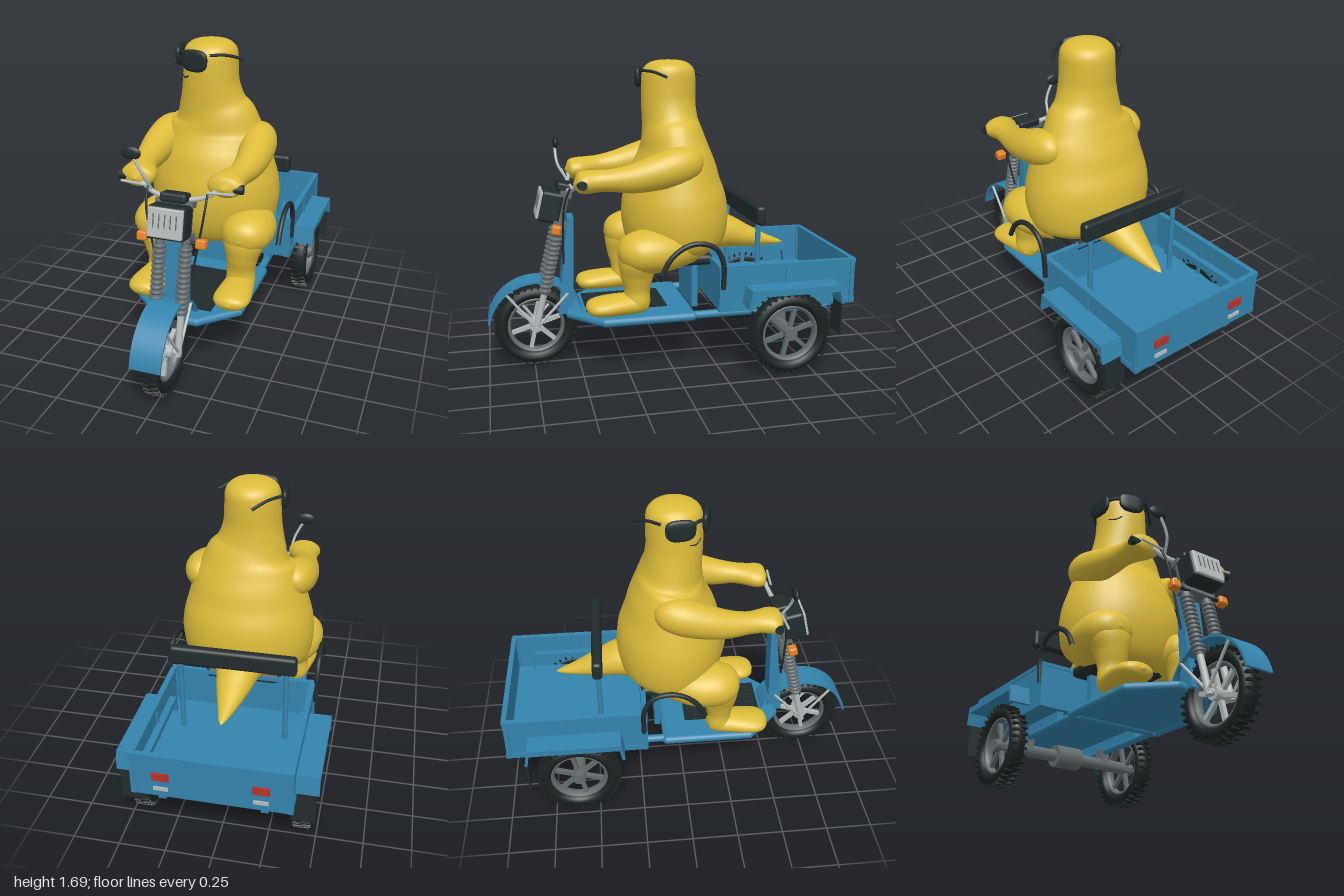
import * as THREE from 'three';
import { RoundedBoxGeometry } from 'three/addons/geometries/RoundedBoxGeometry.js';

const paint = (name, color) => Object.assign(new THREE.MeshStandardMaterial({ color }), { name });
const V = (p) => new THREE.Vector3(...p);

// Smooth skin through rings [x, y, z, halfWidth, halfDepth]
function loft(rings, steps = 40, sides = 32) {
  const path = new THREE.CatmullRomCurve3(rings.map(r => V(r.slice(0, 3))), false, 'catmullrom');
  const size = new THREE.CatmullRomCurve3(rings.map(r => V([r[3], r[4] ?? r[3], 0])), false, 'catmullrom');
  const pos = [], index = [];
  for (let i = 0; i <= steps; i++) {
    const c = path.getPoint(i / steps), t = path.getTangent(i / steps), r = size.getPoint(i / steps);
    const s = new THREE.Vector3(1, 0, 0).addScaledVector(t, -t.x).normalize();
    const b = new THREE.Vector3().crossVectors(t, s);
    for (let j = 0; j < sides; j++) {
      const a = j / sides * Math.PI * 2;
      const p = c.clone().addScaledVector(s, Math.cos(a) * Math.max(r.x, 0.001))
        .addScaledVector(b, Math.sin(a) * Math.max(r.y, 0.001));
      pos.push(p.x, p.y, p.z);
      if (i < steps) {
        const k = (j + 1) % sides, m = i * sides, n = m + sides;
        index.push(m + j, m + k, n + k, m + j, n + k, n + j);
      }
    }
  }
  const g = new THREE.BufferGeometry();
  g.setAttribute('position', new THREE.Float32BufferAttribute(pos, 3));
  g.setIndex(index);
  g.computeVertexNormals();
  return g;
}

// Side profile in (z, y), extruded across x
function sideExtrude(shape, width) {
  return new THREE.ExtrudeGeometry(shape, { depth: width, bevelEnabled: false, curveSegments: 32 })
    .translate(0, 0, -width / 2).rotateY(-Math.PI / 2);
}

export function createModel() {
  const root = new THREE.Group();
  root.name = 'cargoTricycleWithRider';
  const yellow = paint('yellow skin', 0xdcbc3a), blue = paint('blue paint', 0x3484ad);
  const black = paint('black plastic', 0x222c2d), rubber = paint('tyre rubber', 0x1b2222);
  const grey = paint('grey metal', 0x646c6e), silver = paint('silver metal', 0xb4baba);
  const orange = paint('orange lens', 0xe68324), red = paint('red lens', 0xb8322a);

  const add = (name, geo, mat, p = [0, 0, 0], parent = root) => {
    const m = new THREE.Mesh(geo, mat);
    m.name = name;
    m.position.set(...p);
    parent.add(m);
    return m;
  };
  const box = (name, mat, size, p, parent) => add(name, new THREE.BoxGeometry(...size), mat, p, parent);
  const soft = (name, mat, size, p, r, parent) => add(name, new RoundedBoxGeometry(...size, 3, r), mat, p, parent);
  const rod = (name, mat, a, b, r, parent) => {
    const d = V(b).sub(V(a));
    const m = add(name, new THREE.CylinderGeometry(r, r, d.length(), 16), mat, [0, 0, 0], parent);
    m.position.copy(V(a)).addScaledVector(d, 0.5);
    m.quaternion.setFromUnitVectors(new THREE.Vector3(0, 1, 0), d.normalize());
    return m;
  };
  const tube = (name, mat, pts, r, parent) => add(name,
    new THREE.TubeGeometry(new THREE.CatmullRomCurve3(pts.map(V)), 40, r, 10), mat, [0, 0, 0], parent);

  // Wheels, built round the local z axis
  function wheel(name, x, z, spokeMat) {
    const g = new THREE.Group();
    g.name = name;
    g.position.set(x, 0.233, z);
    g.rotation.y = Math.PI / 2;
    root.add(g);
    add('tyre', new THREE.TorusGeometry(0.188, 0.037, 14, 48).scale(1, 1, 1.25), rubber, [0, 0, 0], g);
    add('rim', new THREE.TorusGeometry(0.152, 0.014, 10, 48).scale(1, 1, 2), grey, [0, 0, 0], g);
    for (let i = 0; i < 72; i++) {
      const a = i / 72 * Math.PI * 2, s = i % 2 ? 1 : -1;
      const b = box('treadBlock', rubber, [0.02, 0.012, 0.042], [Math.cos(a) * 0.222, Math.sin(a) * 0.222, s * 0.022], g);
      b.rotation.z = a;
    }
    for (let i = 0; i < 6; i++) {
      const a = i / 6 * Math.PI * 2 + 0.3;
      box('spoke', spokeMat, [0.13, 0.022, 0.024], [Math.cos(a) * 0.085, Math.sin(a) * 0.085, 0], g).rotation.z = a;
    }
    add('hub', new THREE.CylinderGeometry(0.035, 0.035, 0.09, 20).rotateX(Math.PI / 2), spokeMat, [0, 0, 0], g);
  }
  wheel('frontWheel', 0, 0.735, silver);
  wheel('rightRearWheel', -0.425, -0.606, grey);
  wheel('leftRearWheel', 0.425, -0.606, grey);

  // Front mudguard and steering column
  const arc = new THREE.Shape();
  arc.absarc(0, 0, 0.272, 0.16, 2.85, false);
  arc.absarc(0, 0, 0.26, 2.85, 0.16, true);
  add('frontMudguard', sideExtrude(arc, 0.165), blue, [0, 0.233, 0.73]);
  const column = new THREE.Shape([[0.515, 0.85], [0.55, 0.85], [0.61, 0.3], [0.53, 0.3]].map(p => new THREE.Vector2(...p)));
  add('steeringColumn', sideExtrude(column, 0.12), blue);

  // Fork, raked back from the front axle
  const fork = new THREE.Group();
  fork.name = 'fork';
  fork.position.set(0, 0.235, 0.735);
  fork.rotation.x = -0.235;
  root.add(fork);
  rod('frontAxle', silver, [-0.085, 0, 0], [0.085, 0, 0], 0.018, fork);
  for (const k of [-1, 1]) {
    rod('lowerForkLeg', silver, [k * 0.07, -0.02, 0], [k * 0.07, 0.25, 0], 0.018, fork);
    rod('upperForkLeg', grey, [k * 0.07, 0.2, 0], [k * 0.07, 0.78, 0], 0.024, fork);
    for (let i = 0; i < 13; i++)
      add('springCoil', new THREE.TorusGeometry(0.026, 0.01, 8, 20).rotateX(Math.PI / 2 + 0.12), grey, [k * 0.07, 0.22 + i * 0.027, 0], fork);
    rod('indicatorStalk', black, [k * 0.06, 0.585, 0.02], [k * 0.13, 0.585, 0.02], 0.01, fork);
    soft('indicator', orange, [0.055, 0.05, 0.05], [k * 0.157, 0.585, 0.02], 0.012, fork);
    for (const a of [0.9, 2.3])
      rod('mudguardStay', silver, [k * 0.075, 0.235, 0.735], [k * 0.075, 0.233 + Math.sin(a) * 0.262, 0.73 + Math.cos(a) * 0.262], 0.008);
  }
  box('forkClamp', grey, [0.2, 0.04, 0.07], [0, 0.6, 0], fork);
  box('upperClamp', grey, [0.2, 0.03, 0.06], [0, 0.77, 0], fork);
  soft('headlightShell', black, [0.2, 0.17, 0.12], [0, 0.685, 0.065], 0.02, fork);
  soft('headlightLens', silver, [0.185, 0.15, 0.02], [0, 0.685, 0.125], 0.008, fork);
  for (let i = -2; i <= 2; i++) box('lensSlot', grey, [0.006, 0.07, 0.004], [i * 0.03, 0.695, 0.135], fork);
  soft('dashboard', black, [0.14, 0.05, 0.09], [0, 0.8, 0.01], 0.015, fork);

  // Handlebar, grips, cables and mirror
  tube('handlebar', silver, [[-0.32, 1.07, 0.49], [-0.22, 1.06, 0.505], [-0.13, 1.015, 0.53], [0, 1, 0.55],
    [0.13, 1.015, 0.53], [0.22, 1.06, 0.505], [0.32, 1.07, 0.49]], 0.013);
  for (const k of [-1, 1]) {
    rod('grip', black, [k * 0.21, 1.065, 0.5], [k * 0.33, 1.07, 0.49], 0.024);
    rod('brakeLever', silver, [k * 0.16, 1.05, 0.54], [k * 0.3, 1.06, 0.545], 0.007);
    tube('cable', black, [[k * 0.16, 1.05, 0.53], [k * 0.155, 0.95, 0.57], [k * 0.13, 0.8, 0.58], [k * 0.09, 0.6, 0.58]], 0.006);
  }
  tube('mirrorStem', silver, [[-0.14, 1.03, 0.53], [-0.16, 1.11, 0.575], [-0.2, 1.19, 0.585], [-0.22, 1.22, 0.58]], 0.008);
  add('mirror', new THREE.SphereGeometry(0.054, 24, 16).scale(1, 0.65, 0.3), black, [-0.222, 1.228, 0.582]);

  // Footboard with tubular edge and ribbed mat
  const outline = [[-0.1, 0.55], [-0.28, 0.38], [-0.28, -0.1], [0.28, -0.1], [0.28, 0.38], [0.1, 0.55]];
  const deck = new THREE.Shape(outline.map(p => new THREE.Vector2(...p)));
  add('footboard', new THREE.ExtrudeGeometry(deck, { depth: 0.03, bevelEnabled: false }).rotateX(Math.PI / 2), blue, [0, 0.335, 0]);
  outline.forEach((p, i) => {
    const q = outline[(i + 1) % 6];
    rod('footboardTube', blue, [p[0], 0.312, p[1]], [q[0], 0.312, q[1]], 0.024);
    add('tubeJoint', new THREE.SphereGeometry(0.024, 14, 10), blue, [p[0], 0.312, p[1]]);
  });
  box('floorMat', black, [0.3, 0.01, 0.45], [0, 0.339, 0.24]);
  for (let i = -4; i <= 4; i++) box('matRib', black, [0.015, 0.006, 0.43], [i * 0.032, 0.346, 0.24]);

  // Rear chassis and axle
  for (const k of [-1, 1]) {
    rod('chassisTube', blue, [k * 0.26, 0.312, -0.08], [k * 0.26, 0.312, -0.89], 0.022);
    box('axleBracket', grey, [0.05, 0.09, 0.07], [k * 0.26, 0.28, -0.606]);
    box('bedSupport', blue, [0.04, 0.06, 0.7], [k * 0.26, 0.345, -0.6]);
  }
  rod('chassisCrossTube', blue, [-0.26, 0.312, -0.88], [0.26, 0.312, -0.88], 0.02);
  rod('rearAxle', grey, [-0.4, 0.235, -0.606], [0.4, 0.235, -0.606], 0.035);
  rod('differential', grey, [-0.08, 0.235, -0.606], [0.08, 0.235, -0.606], 0.065);

  // Cargo bed with rails and posts
  box('bedFloor', blue, [0.8, 0.03, 0.77], [0, 0.385, -0.605]);
  for (const k of [-1, 1]) {
    box('bedSide', blue, [0.016, 0.23, 0.77], [k * 0.392, 0.5, -0.605]);
    box('sideRail', blue, [0.03, 0.022, 0.78], [k * 0.392, 0.611, -0.603]);
    box('sideSill', blue, [0.028, 0.03, 0.78], [k * 0.392, 0.385, -0.603]);
    for (const z of [-0.228, -0.6, -0.975]) box('bedPost', blue, [0.032, 0.25, 0.025], [k * 0.392, 0.495, z]);
    // Rear mudguards and flaps
    box('mudguardTop', blue, [0.172, 0.035, 0.5], [k * 0.433, 0.493, -0.615]);
    for (const [z, tilt] of [[-0.362, -0.18], [-0.868, 0.18]])
      box('mudguardSkirt', blue, [0.172, 0.1, 0.016], [k * 0.433, 0.457, z]).rotation.x = tilt;
    box('mudFlap', black, [0.125, 0.2, 0.01], [k * 0.442, 0.325, -0.875]);
    // Lamps on the tailgate
    box('tailLight', red, [0.085, 0.045, 0.009], [k * 0.25, 0.495, -0.995]);
    box('reflector', silver, [0.075, 0.02, 0.008], [k * 0.25, 0.42, -0.994]);
    // Backrest posts and arm rails
    rod('backrestPost', blue, [k * 0.28, 0.39, -0.465], [k * 0.28, 0.86, -0.465], 0.014);
    tube('armRail', black, [[k * 0.415, 0.6, 0.1], [k * 0.415, 0.68, 0.055], [k * 0.415, 0.74, -0.02], [k * 0.415, 0.758, -0.1],
      [k * 0.415, 0.73, -0.185], [k * 0.415, 0.65, -0.23], [k * 0.41, 0.5, -0.235]], 0.014);
  }
  for (const z of [-0.228, -0.982]) {
    box('bedEnd', blue, [0.78, 0.23, 0.016], [0, 0.5, z]);
    box('endRail', blue, [0.78, 0.022, 0.028], [0, 0.611, z]);
  }
  soft('backrest', black, [0.67, 0.105, 0.055], [0, 0.868, -0.468], 0.02);
  soft('seat', black, [0.42, 0.06, 0.32], [0, 0.605, -0.08], 0.025);
  box('seatPost', blue, [0.3, 0.26, 0.035], [0, 0.45, -0.145]);

  // Rider: torso and head in one skin
  const rider = new THREE.Group();
  rider.name = 'rider';
  root.add(rider);
  const skin = (name, rings, steps) => add(name, loft(rings, steps), yellow, [0, 0, 0], rider);
  const hx = -0.018, hz = -0.03;
  skin('bodyAndHead', [[0, 0.58, -0.07, 0.001], [0, 0.6, -0.07, 0.2, 0.18], [0, 0.68, -0.06, 0.33, 0.265], [0, 0.8, -0.06, 0.365, 0.295],
    [0, 0.92, -0.057, 0.36, 0.291], [0, 1.02, -0.055, 0.335, 0.265], [0, 1.12, -0.058, 0.305, 0.23], [0, 1.2, -0.055, 0.28, 0.195],
    [0, 1.27, -0.047, 0.235, 0.173], [-0.012, 1.35, -0.038, 0.185, 0.155], [hx, 1.45, hz, 0.156, 0.15], [hx, 1.55, hz, 0.148, 0.15],
    [hx, 1.63, hz, 0.142, 0.143], [hx, 1.67, hz, 0.11, 0.11], [hx, 1.686, hz, 0.06, 0.06], [hx, 1.69, hz, 0.001]], 75);
  skin('tail', [[0, 0.72, -0.2, 0.15, 0.12], [0, 0.72, -0.34, 0.12, 0.1], [0.003, 0.685, -0.47, 0.088, 0.068],
    [0.006, 0.655, -0.59, 0.05, 0.036], [0.01, 0.638, -0.68, 0.02, 0.014], [0.01, 0.633, -0.712, 0.001]]);
  for (const k of [-1, 1]) {
    skin('arm', [[k * 0.22, 1.17, -0.14, 0.001], [k * 0.24, 1.165, -0.11, 0.075], [k * 0.258, 1.145, -0.02, 0.1], [k * 0.272, 1.115, 0.1, 0.092],
      [k * 0.272, 1.09, 0.22, 0.077], [k * 0.26, 1.083, 0.33, 0.065, 0.06], [k * 0.245, 1.08, 0.4, 0.075, 0.058],
      [k * 0.235, 1.075, 0.46, 0.093, 0.06], [k * 0.235, 1.07, 0.505, 0.08, 0.05], [k * 0.235, 1.07, 0.53, 0.001]]);
    skin('thigh', [[k * 0.2, 0.7, -0.1, 0.1], [k * 0.24, 0.69, 0.05, 0.145, 0.115], [k * 0.255, 0.69, 0.16, 0.146, 0.118],
      [k * 0.255, 0.687, 0.24, 0.12, 0.098], [k * 0.255, 0.682, 0.29, 0.07, 0.058], [k * 0.255, 0.68, 0.308, 0.001]]);
    skin('shin', [[k * 0.25, 0.73, 0.19, 0.06], [k * 0.25, 0.66, 0.2, 0.115, 0.1], [k * 0.242, 0.56, 0.2, 0.09],
      [k * 0.235, 0.48, 0.2, 0.078, 0.07], [k * 0.235, 0.4, 0.2, 0.08, 0.07], [k * 0.235, 0.36, 0.2, 0.04]]);
    skin('foot', [[k * 0.235, 0.4, 0.125, 0.001], [k * 0.235, 0.402, 0.16, 0.065, 0.05], [k * 0.24, 0.4, 0.28, 0.09, 0.057],
      [k * 0.245, 0.395, 0.4, 0.1, 0.05], [k * 0.245, 0.392, 0.46, 0.07, 0.035], [k * 0.245, 0.39, 0.482, 0.001]]);
  }

  // Sunglasses wrapped round the turned head; angles run from +x towards +z
  const onHead = (deg, r, y) => [hx + Math.cos(deg * Math.PI / 180) * r, y, hz + Math.sin(deg * Math.PI / 180) * r];
  for (const [deg, endDeg, tip] of [[174, 205, [-0.05, 1.6, -0.235]], [103, 74, [0.175, 1.6, 0.015]]]) {
    const lens = add('sunglassLens', new THREE.SphereGeometry(1, 28, 20), black, onHead(deg, 0.166, 1.598), rider);
    const p = lens.geometry.attributes.position;
    for (let i = 0; i < p.count; i++) { // squared-off oval
      const q = (v) => Math.sign(v) * Math.pow(Math.abs(v), 0.7);
      p.setXYZ(i, q(p.getX(i)) * (0.078 + 0.006 * p.getY(i)), q(p.getY(i)) * 0.058, q(p.getZ(i)) * 0.018);
    }
    lens.geometry.computeVertexNormals();
    lens.rotation.y = Math.PI / 2 - deg * Math.PI / 180;
    const a = onHead(endDeg, 0.18, 1.635);
    tube('sunglassArm', black, [a, [(a[0] + tip[0]) / 2, 1.628, (a[2] + tip[2]) / 2], tip], 0.008, rider);
  }
  tube('sunglassBridge', black, [onHead(150, 0.168, 1.62), onHead(138, 0.165, 1.625), onHead(126, 0.168, 1.62)], 0.009, rider);
  tube('mouth', black, [onHead(154, 0.149, 1.5), onHead(138, 0.151, 1.492), onHead(122, 0.151, 1.51)], 0.004, rider);
  return root;
}
